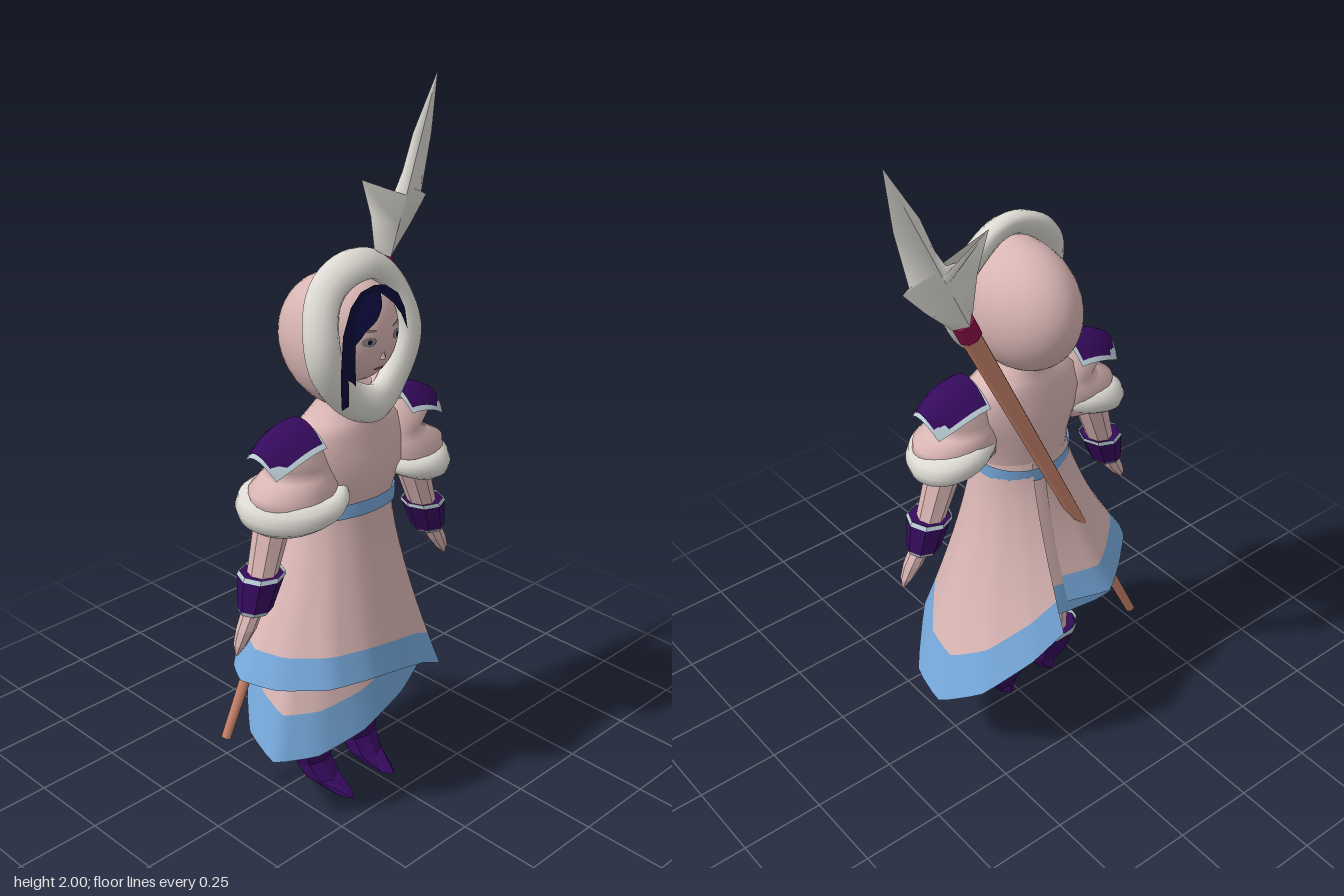
import * as THREE from 'three';
import { mergeVertices } from 'three/addons/utils/BufferGeometryUtils.js';

const mat = (name, color) => new THREE.MeshStandardMaterial({ name, color, side: THREE.DoubleSide });

// Grid surface shaped by a rule f(u, v) -> [x, y, z]
function surf(nu, nv, f, flat = false) {
  const plane = new THREE.PlaneGeometry(1, 1, nu, nv);
  const p = plane.attributes.position;
  for (let i = 0; i < p.count; i++) p.setXYZ(i, ...f(p.getX(i) + 0.5, 0.5 - p.getY(i)));
  plane.deleteAttribute('uv');
  plane.deleteAttribute('normal');
  let g = mergeVertices(plane, 1e-5);
  if (flat) g = g.toNonIndexed();
  g.computeVertexNormals();
  return g;
}

// Stacked oval cross-sections [x, y, z, rx, rz, tilt]; tilt lowers the front edge
function loft(sections, sides = 24, flat = false) {
  return surf(sides, sections.length - 1, (u, v) => {
    const [x, y, z, rx, rz, tilt = 0] = sections[Math.round(v * (sections.length - 1))];
    const a = u * Math.PI * 2, c = Math.cos(a);
    return [x + rx * Math.sin(a), y - tilt * c, z + rz * c];
  }, flat);
}

// Point at u along a polyline of 2D points
function along(points, u) {
  const t = u * (points.length - 1), i = Math.min(Math.floor(t), points.length - 2);
  return points[i].map((c, k) => c + (points[i + 1][k] - c) * (t - i));
}

export function createModel() {
  const M = {
    pink: mat('pink cloth and skin', 0xd9b6b4), fur: mat('white fur and steel', 0xdedbd4),
    purple: mat('deep purple', 0x350a5c), blue: mat('sky blue', 0x76a8da),
    trim: mat('pale trim', 0xb9ccd4), navy: mat('navy hair', 0x0a0a3a),
    wood: mat('wood', 0xc6826a), wrap: mat('magenta wrap', 0x8a1048),
    grey: mat('eye grey', 0x8f8688), lip: mat('lip', 0xa85c64),
  };
  const model = new THREE.Group();
  const body = new THREE.Group();
  body.name = 'figure';
  body.position.x = -0.05;
  model.add(body);
  const add = (parent, name, geo, m) => {
    const mesh = new THREE.Mesh(geo, m);
    mesh.name = name;
    parent.add(mesh);
    return mesh;
  };

  // Torso with neck and shoulders
  add(body, 'torso', loft([
    [0, 1.27, 0.06, 0.07, 0.075], [0, 1.21, 0.06, 0.075, 0.08], [0, 1.18, 0.06, 0.125, 0.09],
    [0, 1.15, 0.06, 0.18, 0.1], [0, 1.09, 0.06, 0.2, 0.113], [0, 1.03, 0.064, 0.185, 0.125],
    [0, 0.97, 0.06, 0.155, 0.12], [0, 0.91, 0.055, 0.143, 0.113],
  ], 28), M.pink);
  add(body, 'waistBand', surf(32, 1, (u, v) => {
    const a = u * Math.PI * 2, c = Math.cos(a);
    return [0.155 * Math.sin(a), 0.938 + 0.027 * c - 0.042 * v, 0.058 + 0.127 * c];
  }), M.blue);

  // Skirt layers: flare from the waist oval to a slanted hem, with a blue border
  function skirt(name, hem, scale) {
    const curve = new THREE.CatmullRomCurve3(hem.map(h => new THREE.Vector3(...h)), false, 'catmullrom', 0.15);
    const at = (u, t) => {
      const h = curve.getPoint(u), a = Math.atan2(h.x + 0.05, h.z - 0.055);
      const x = -0.05 + 0.147 * scale * Math.sin(a), z = 0.055 + 0.115 * scale * Math.cos(a);
      const f = Math.pow(t, 1.4);
      return [x + (h.x - x) * f, 0.93 + (h.y - 0.93) * t, z + (h.z - z) * f];
    };
    const edge = u => {
      const y = curve.getPoint(u).y;
      return 1 - (0.078 + 0.2 * (0.48 - y)) / (0.93 - y);
    };
    const n = (hem.length - 1) * 3;
    add(model, name, surf(n, 8, (u, v) => at(u, v * edge(u))), M.pink);
    add(model, name + 'Border', surf(n, 2, (u, v) => at(u, edge(u) + v * (1 - edge(u)))), M.blue);
  }
  skirt('outerSkirt', [
    [0.05, 0.47, -0.27], [0.15, 0.4, -0.25], [0.28, 0.3, -0.18], [0.35, 0.225, -0.06], [0.33, 0.245, 0.07],
    [0.2, 0.335, 0.21], [0.08, 0.405, 0.25], [-0.07, 0.45, 0.27], [-0.16, 0.465, 0.268], [-0.28, 0.47, 0.235],
    [-0.38, 0.465, 0.13], [-0.415, 0.465, 0.02], [-0.38, 0.47, -0.05], [-0.28, 0.47, -0.14],
    [-0.18, 0.465, -0.21], [-0.04, 0.48, -0.18],
  ], 1);
  skirt('underSkirt', [
    [0.11, 0.4, 0.22], [0, 0.345, 0.245], [-0.15, 0.28, 0.24], [-0.29, 0.24, 0.2], [-0.39, 0.228, 0.12],
    [-0.37, 0.265, 0], [-0.28, 0.34, -0.11], [-0.16, 0.41, -0.17], [-0.04, 0.45, -0.19], [0.06, 0.48, -0.2],
  ], 0.96);

  // Hood shell (rear half), its collar, and the fur brim that comes to a point under the chin
  add(body, 'hood', surf(32, 14, (u, v) => {
    const a = u * Math.PI * 2, r = v * Math.PI / 2;
    return [0.145 * Math.sin(r) * Math.cos(a), 1.385 + 0.187 * Math.sin(r) * Math.sin(a),
      0.06 - 0.21 * Math.cos(r)];
  }), M.pink);
  add(body, 'hoodCollar', surf(32, 3, (u, v) => {
    const a = u * Math.PI * 2;
    return [0.145 * Math.cos(a), 1.385 + 0.187 * Math.sin(a), 0.06 + 0.06 * v];
  }), M.pink);
  add(body, 'hoodFur', surf(48, 12, (u, v) => {
    const a = u * Math.PI * 2, b = v * Math.PI * 2, k = 0.5 + 0.5 * Math.cos(b);
    const c = Math.cos(a), s = Math.sin(a), point = s < 0 ? 1 - 0.2 * s * s : 1;
    const y = (1.425 + 0.137 * s) * (1 - k) + (1.41 + 0.23 * s) * k;
    const z = 0.143 - 0.17 * (y - 1.41) - 0.02 * k + 0.04 * Math.sin(b) + 0.006 * Math.cos(a * 4);
    return [(0.115 + 0.088 * k) * c * point, y, z];
  }), M.fur);

  // Face (front half) with thin painted features that follow its curve
  const faceZ = (x, y) => 0.095 + 0.112 * Math.sqrt(Math.max(0, 1 - (x / 0.122) ** 2 - ((y - 1.425) / 0.142) ** 2));
  add(body, 'face', surf(32, 12, (u, v) => {
    const a = u * Math.PI * 2, r = Math.sin(v * Math.PI / 2);
    return [0.122 * r * Math.cos(a), 1.425 + 0.142 * r * Math.sin(a), 0.095 + 0.112 * Math.cos(v * Math.PI / 2)];
  }), M.pink);
  const decal = (name, cx, cy, rx, ry, m, lift, slope = 0) => add(body, name, surf(12, 2, (u, v) => {
    const a = u * Math.PI * 2, x = cx + rx * v * Math.cos(a);
    const y = cy + ry * v * Math.sin(a) + slope * (x - cx);
    return [x, y, faceZ(x, y) + lift];
  }), m);
  for (const s of [-1, 1]) {
    decal('eye', s * 0.05, 1.425, 0.02, 0.013, M.grey, 0.003);
    decal('pupil', s * 0.05, 1.425, 0.006, 0.007, M.navy, 0.005);
    decal('eyebrow', s * 0.05, 1.455, 0.022, 0.003, M.grey, 0.004, 0.15 * s);
  }
  decal('mouth', 0, 1.338, 0.02, 0.005, M.lip, 0.004);
  const nose = add(body, 'nose', new THREE.ConeGeometry(0.009, 0.035, 6), M.pink);
  nose.position.set(0, 1.385, 0.2);

  // Swept fringe hugging the brow, with locks hanging at one side
  const hairOuter = [
    [0.11, 1.42], [0.106, 1.475], [0.085, 1.52], [0.04, 1.552], [0, 1.56], [-0.05, 1.552], [-0.09, 1.52],
    [-0.125, 1.455], [-0.142, 1.37], [-0.148, 1.33], [-0.152, 1.265],
  ];
  const hairInner = [
    [0.109, 1.42], [0.09, 1.465], [0.065, 1.495], [0.02, 1.535], [0, 1.505], [-0.025, 1.48], [-0.06, 1.455],
    [-0.085, 1.42], [-0.095, 1.315], [-0.118, 1.345], [-0.125, 1.27],
  ];
  add(body, 'hairFringe', surf(40, 6, (u, v) => {
    const o = along(hairOuter, u), n = along(hairInner, u);
    const x = o[0] + (n[0] - o[0]) * v, y = o[1] + (n[1] - o[1]) * v;
    return [x, y, Math.max(faceZ(x, y) + 0.007, 0.186 - 0.12 * (y - 1.4))];
  }), M.navy);

  // Mirrored limbs and shoulder pieces
  for (const s of [1, -1]) {
    const side = new THREE.Group();
    side.name = s > 0 ? 'leftSide' : 'rightSide';
    side.scale.x = s;
    body.add(side);

    add(side, 'sleeve', loft([
      [0.19, 1.175, 0.07, 0.03, 0.04], [0.215, 1.14, 0.07, 0.095, 0.075], [0.18, 1.09, 0.07, 0.08, 0.08],
      [0.185, 1.065, 0.07, 0.1, 0.09], [0.205, 1.035, 0.075, 0.135, 0.105], [0.21, 0.98, 0.08, 0.13, 0.105],
      [0.22, 0.95, 0.08, 0.05, 0.05],
    ]), M.pink);
    // Curved pad, rounded toward the outer end
    const pad = (grow, drop) => surf(10, 8, (u, v) => {
      const w = 2 * v - 1, x = 0.172 - grow + (0.16 + 1.6 * grow) * u * (1 - 0.1 * w * w);
      const half = (0.083 + grow) * (1 - 0.3 * u * u * u);
      return [x, 1.213 - drop - 0.055 * u * u - 0.05 * w * w, 0.068 + half * w];
    });
    add(side, 'shoulderPad', pad(0, 0), M.purple);
    add(side, 'shoulderPadTrim', pad(0.009, 0.012), M.trim);
    // Fur cuff: full outside, thinning to a raised tip at the chest
    add(side, 'sleeveFur', surf(36, 10, (u, v) => {
      const a = u * Math.PI * 2, b = v * Math.PI * 2, c = Math.cos(a), n = Math.sin(a);
      const r = 0.035 + 0.015 * c, radius = r * Math.cos(b);
      return [0.205 + (0.108 + radius) * c, 0.995 - 0.02 * c - 0.012 * n + r * Math.sin(b),
        0.086 + 0.015 * n - 0.025 * c + (0.086 + radius) * n];
    }), M.fur);

    // Arm, cuff and hand
    add(side, 'forearm', loft([[0.24, 1.02, 0.06, 0.055, 0.055], [0.275, 0.92, 0.06, 0.05, 0.05],
      [0.325, 0.77, 0.065, 0.038, 0.042]], 8, true), M.pink);
    add(side, 'cuff', loft([[0.318, 0.806, 0.065, 0.03, 0.03], [0.32, 0.802, 0.065, 0.063, 0.065],
      [0.345, 0.71, 0.065, 0.048, 0.05], [0.345, 0.71, 0.065, 0.02, 0.02]], 8, true), M.purple);
    add(side, 'cuffTopTrim', loft([[0.316, 0.812, 0.065, 0.062, 0.064], [0.32, 0.8, 0.065, 0.065, 0.067]], 8, true), M.trim);
    add(side, 'cuffLowerTrim', loft([[0.345, 0.714, 0.065, 0.05, 0.052], [0.348, 0.702, 0.065, 0.043, 0.045]], 8, true), M.trim);
    add(side, 'hand', loft([[0.348, 0.72, 0.066, 0.03, 0.03], [0.38, 0.66, 0.068, 0.03, 0.026],
      [0.403, 0.62, 0.068, 0.02, 0.018], [0.417, 0.592, 0.068, 0.004, 0.004]], 8, true), M.pink);

    // Leg and pointed boot
    add(side, 'leg', loft([[0.085, 0.72, 0.03, 0.06, 0.065], [0.1, 0.4, 0.022, 0.053, 0.053],
      [0.1, 0.16, 0.015, 0.043, 0.045]], 8, true), M.pink);
    add(side, 'boot', loft([
      [0.1, 0.185, 0.015, 0.045, 0.045], [0.1, 0.185, 0.013, 0.08, 0.06], [0.094, 0.08, 0.022, 0.063, 0.044],
      [0.09, 0.043, 0.048, 0.056, 0.057, 0.012], [0.085, 0.01, 0.09, 0.03, 0.098, 0.005], [0.085, 0.002, 0.09, 0.001, 0.001],
    ], 8, true), M.purple);
    add(side, 'bootTrim', surf(16, 1, (u, v) => {
      const a = u * Math.PI * 2, zig = 0.008 * (Math.round(u * 16) % 2);
      return [0.1 + 0.083 * Math.sin(a), 0.196 - (0.016 + zig) * v, 0.013 + 0.064 * Math.cos(a)];
    }, true), M.trim);
  }

  // Spear slung across the back
  const spear = new THREE.Group();
  spear.name = 'spear';
  model.add(spear);
  const rod = (name, a, b, ra, rb, m) => {
    const p = new THREE.Vector3(...a), d = new THREE.Vector3(...b).sub(p);
    const mesh = add(spear, name, new THREE.CylinderGeometry(rb, ra, d.length(), 8), m);
    mesh.position.copy(p).addScaledVector(d, 0.5);
    mesh.quaternion.setFromUnitVectors(new THREE.Vector3(0, 1, 0), d.normalize());
  };
  rod('shaft', [-0.38, 0.2, -0.095], [0.24, 1.48, -0.095], 0.014, 0.029, M.wood);
  rod('binding', [0.232, 1.465, -0.095], [0.256, 1.515, -0.095], 0.033, 0.033, M.wrap);
  // Barbed head: outline joined to a raised spine on both faces
  const outline = [
    [0.467, 2.0], [0.447, 1.83], [0.41, 1.668], [0.43, 1.655], [0.365, 1.58], [0.285, 1.5], [0.222, 1.525],
    [0.205, 1.635], [0.168, 1.745], [0.235, 1.685], [0.3, 1.69], [0.33, 1.74], [0.37, 1.84], [0.467, 2.0],
  ];
  add(spear, 'spearhead', surf(outline.length - 1, 2, (u, v) => {
    const [x, y] = along(outline, u), row = Math.round(v * 2) - 1;
    if (row === 0) return [x, y, -0.095];
    const t = THREE.MathUtils.clamp(((x - 0.253) * 0.214 + (y - 1.51) * 0.49) / 0.286, 0, 1);
    return [0.253 + 0.214 * t, 1.51 + 0.49 * t, -0.095 + row * 0.032 * (1 - t)];
  }), M.fur);

  return model;
}
